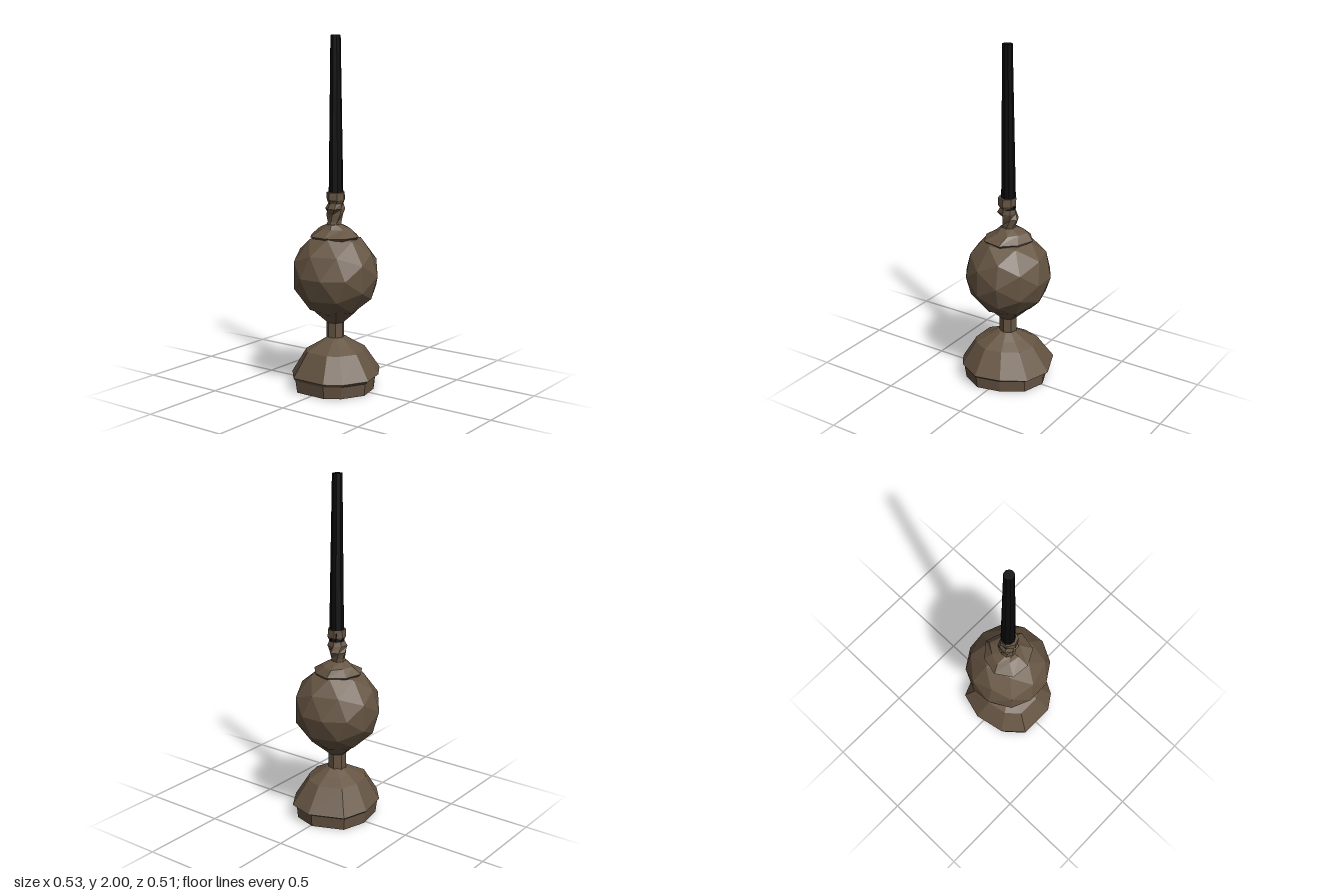
import * as THREE from 'three';

// Joins rings of equal point count into a closed, outward-facing faceted body.
// Each ring is a list of [x, z] points going round from +z toward +x.
function loft(rings, heights) {
  const pos = [];
  const n = rings[0].length;
  const at = (k, i) => [rings[k][i % n][0], heights[k], rings[k][i % n][1]];
  const centre = (k) => {
    const s = rings[k].reduce((a, p) => [a[0] + p[0] / n, a[1] + p[1] / n], [0, 0]);
    return [s[0], heights[k], s[1]];
  };
  const top = rings.length - 1;
  for (let i = 0; i < n; i++) {
    for (let k = 0; k < top; k++) {
      const a = at(k, i), b = at(k, i + 1), c = at(k + 1, i + 1), d = at(k + 1, i);
      pos.push(...a, ...b, ...c, ...a, ...c, ...d);
    }
    pos.push(...centre(0), ...at(0, i + 1), ...at(0, i));
    pos.push(...centre(top), ...at(top, i), ...at(top, i + 1));
  }
  const g = new THREE.BufferGeometry();
  g.setAttribute('position', new THREE.Float32BufferAttribute(pos, 3));
  g.computeVertexNormals();
  return g;
}

// Slightly uneven polygon ring
function ring(r, n, cx = -0.01, cz = -0.01, turn = 0, wobble = 0) {
  return Array.from({ length: n }, (_, i) => {
    const a = turn + (i / n) * Math.PI * 2;
    const q = r * (1 + wobble * Math.sin(i * 2.7 + turn * 9));
    return [cx + Math.sin(a) * q, cz + Math.cos(a) * q];
  });
}

export function createModel() {
  const group = new THREE.Group();
  const wood = new THREE.MeshStandardMaterial({ color: 0x665543, flatShading: true });
  const black = new THREE.MeshStandardMaterial({ color: 0x0b0b0b, flatShading: true });
  wood.name = 'brown';
  black.name = 'black';
  const add = (name, geometry, material) => {
    const mesh = new THREE.Mesh(geometry, material);
    mesh.name = name;
    group.add(mesh);
    return mesh;
  };

  // Irregular foot with an overhanging rim
  const rim = [[-0.065, 0.26], [0.085, 0.225], [0.22, 0.14], [0.265, -0.01], [0.185, -0.205],
    [0.03, -0.25], [-0.15, -0.215], [-0.265, -0.115], [-0.265, 0.095], [-0.205, 0.185]];
  const scaled = (s, dx = 0) => rim.map(([x, z]) => [x * s + dx, z * s]);
  add('foot', loft(
    [scaled(0.9, -0.008), scaled(0.93, -0.01), scaled(1), scaled(0.66, -0.012), scaled(0.42, -0.012), scaled(0.2, -0.01)],
    [0, 0.07, 0.086, 0.225, 0.26, 0.295]), wood);

  // Stem under the ball, flaring into it
  add('lowerStem', loft(
    [ring(0.052, 7), ring(0.052, 7), ring(0.14, 7, -0.01, -0.01, 0, 0.05)],
    [0.27, 0.38, 0.455]), wood);

  // Faceted ball
  const ball = add('ball', new THREE.IcosahedronGeometry(0.252, 1), wood);
  ball.position.set(-0.01, 0.66, -0.01);
  ball.rotation.y = 0.3;

  // Uneven collar over the ball
  add('collar', loft(
    [ring(0.12, 8, -0.01, -0.01, 0.2), ring(0.142, 8, -0.012, -0.014, 0.2, 0.06),
      ring(0.088, 8, 0.005, -0.02, 0.3, 0.12), ring(0.045, 8, -0.015, -0.015, 0.3)],
    [0.855, 0.88, 0.92, 0.945]), wood);

  // Crooked neck and socket
  add('neck', loft(
    [ring(0.048, 7, -0.018, -0.02), ring(0.04, 7, -0.008, -0.015, 0.3), ring(0.05, 7, -0.002, -0.018, 0.5, 0.1),
      ring(0.054, 7, -0.015, -0.01, 0.8, 0.12), ring(0.043, 7, -0.012, -0.005, 0.9),
      ring(0.054, 7, -0.014, -0.004, 1.0, 0.06), ring(0.053, 7, -0.014, -0.004, 1.0)],
    [0.92, 0.96, 1.0, 1.035, 1.065, 1.085, 1.128]), wood);

  // Long tapering mouthpiece
  add('mouthpiece', loft(
    [ring(0.043, 9, -0.008, -0.008), ring(0.029, 9, -0.014, -0.006)],
    [1.06, 2.0]), black);

  return group;
}
